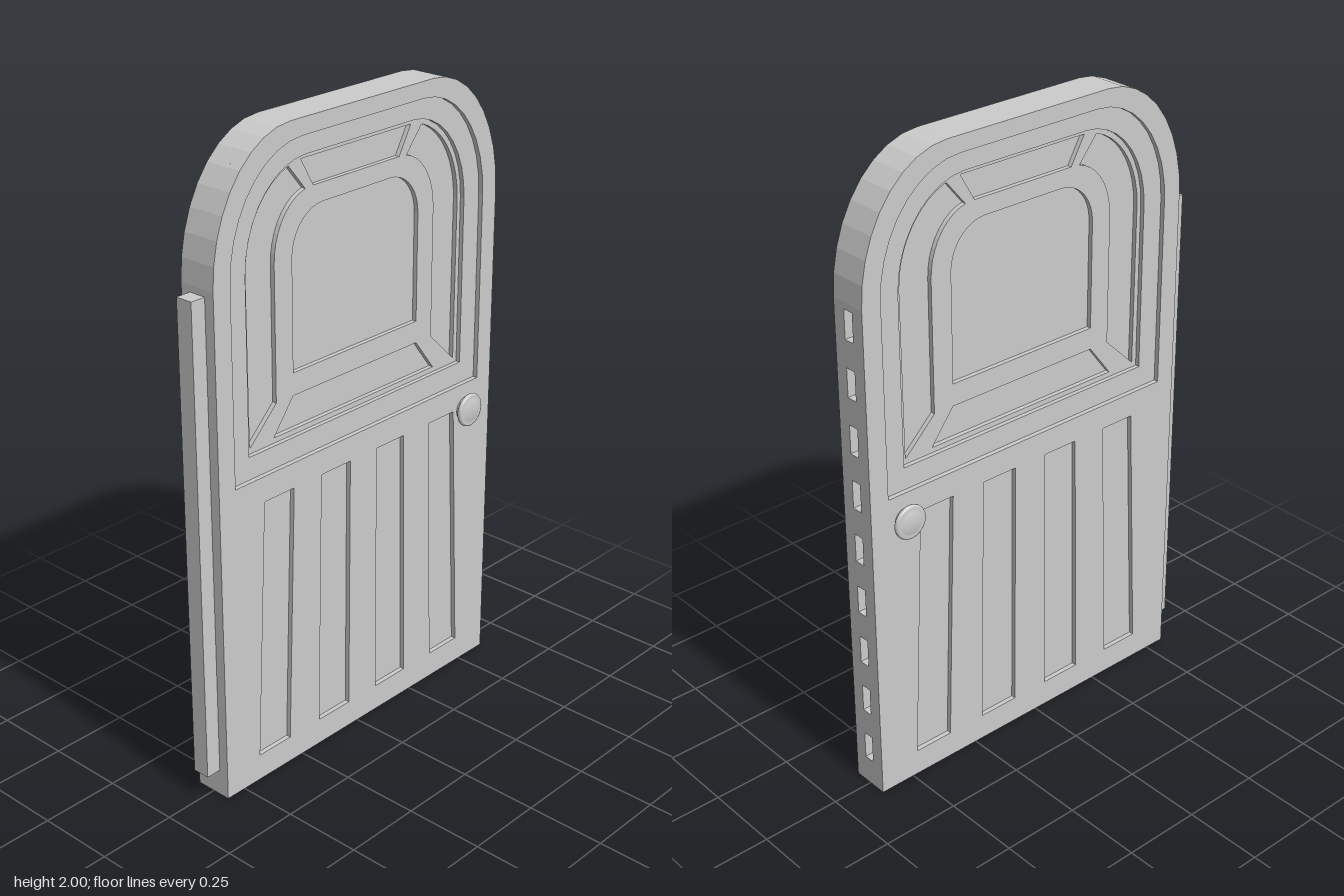
import * as THREE from 'three';

const CX = 0.024;      // centre line of the door leaf
const SPRING = 1.6;    // height where every arch starts
const material = new THREE.MeshStandardMaterial({ color: 0xcccccc, flatShading: true });
const smooth = new THREE.MeshStandardMaterial({ color: 0xcccccc });
const V = (x, y) => new THREE.Vector2(CX + x, y);

// Right-hand elliptical corner, from angle a to angle b
function corner(half, top, rx, a = 0, b = Math.PI / 2, n = 9) {
  return Array.from({ length: n + 1 }, (_, i) => {
    const t = a + (b - a) * i / n;
    return V(half - rx + rx * Math.cos(t), SPRING + (top - SPRING) * Math.sin(t));
  });
}

const flip = pts => pts.map(p => new THREE.Vector2(2 * CX - p.x, p.y)).reverse();

// Outline with a flat top and rounded shoulders; rightEdge adds points up the right side
function arch(half, bottom, top, rx, rightEdge = []) {
  const c = corner(half, top, rx);
  return [V(-half, bottom), V(half, bottom), ...rightEdge, ...c, ...flip(c)];
}

function slab(outline, holes, z0, z1, name) {
  const shape = new THREE.Shape(outline);
  shape.holes = holes.map(h => new THREE.Path(h));
  const geo = new THREE.ExtrudeGeometry(shape, { depth: z1 - z0, bevelEnabled: false });
  geo.translate(0, 0, z0);
  const mesh = new THREE.Mesh(geo, material);
  mesh.name = name;
  return mesh;
}

export function createModel() {
  const group = new THREE.Group();
  group.name = 'door';
  const H = 0.593, ARCH = 0.3;
  const Z = [0.0175, 0.032, 0.046, 0.061];   // pane floor, lattice, moulding, face

  // Core with nine slots cut in the latch edge
  const notches = [];
  for (let i = 0; i < 9; i++) {
    const y = 0.09 + i * 0.175;
    notches.push(V(H, y), V(H - 0.03, y), V(H - 0.03, y + 0.09), V(H, y + 0.09));
  }
  // The last slot ends above the arch start only slightly less than the spring line
  group.add(slab(arch(H, 0, 2, ARCH, notches), [], -Z[0], Z[0], 'core'));

  // Window panes between the diagonal bars
  const sideA = Math.acos((0.275 - 0.215) / 0.23);
  const sideB = Math.acos((0.21 - 0.185) / 0.15);
  const rightPane = [
    V(0.335, 1.19), V(0.443, 1.086),
    ...corner(0.445, 1.875, 0.23, 0, sideA),
    ...corner(0.335, 1.79, 0.15, 0, sideB).reverse()
  ];
  const panes = [
    rightPane,
    flip(rightPane),
    [V(-0.347, 1.086), V(0.347, 1.086), V(0.267, 1.19), V(-0.267, 1.19)],
    [V(-0.178, 1.79), V(0.178, 1.79), V(0.227, 1.875), V(-0.227, 1.875)],
    arch(0.265, 1.26, 1.735, 0.125)
  ];

  // Four tapered lower panels
  const panels = [];
  for (const [b0, b1, t0, t1] of [[0.327, 0.457, 0.297, 0.417], [0.063, 0.198, 0.058, 0.182]]) {
    const p = [V(b0, 0.085), V(b1, 0.085), V(t1, 0.92), V(t0, 0.92)];
    panels.push(p, flip(p));
  }

  // Stepped layers on both faces
  const layers = [
    ['windowLattice', panes],
    ['windowMoulding', [arch(0.46, 1.07, 1.89, 0.24)]],
    ['face', [arch(0.53, 1.0, 1.95, 0.28), ...panels]]
  ];
  layers.forEach(([name, holes], i) => {
    const outline = arch(H, 0, 2, ARCH);
    group.add(slab(outline, holes, Z[i], Z[i + 1], name + 'Front'));
    group.add(slab(outline, holes, -Z[i + 1], -Z[i], name + 'Back'));
  });

  // Hinge strip
  const hinge = new THREE.Mesh(new THREE.BoxGeometry(0.06, 1.495, 0.056), material);
  hinge.name = 'hingeStrip';
  hinge.position.set(-0.588, 0.8325, 0);
  group.add(hinge);

  // Knobs on both faces
  const profile = [
    [0.04, 0.04], [0.038, 0.062], [0.039, 0.068], [0.047, 0.072], [0.053, 0.077], [0.054, 0.082],
    [0.052, 0.087], [0.047, 0.089], [0.042, 0.087], [0.034, 0.09], [0.02, 0.093], [0, 0.094]
  ].map(([r, y]) => new THREE.Vector2(r, y));
  const knobGeo = new THREE.LatheGeometry(profile, 32);
  for (const s of [1, -1]) {
    const knob = new THREE.Mesh(knobGeo, smooth);
    knob.name = s > 0 ? 'frontKnob' : 'backKnob';
    knob.rotation.x = s * Math.PI / 2;
    knob.position.set(0.496, 0.915, 0);
    group.add(knob);
  }
  return group;
}
